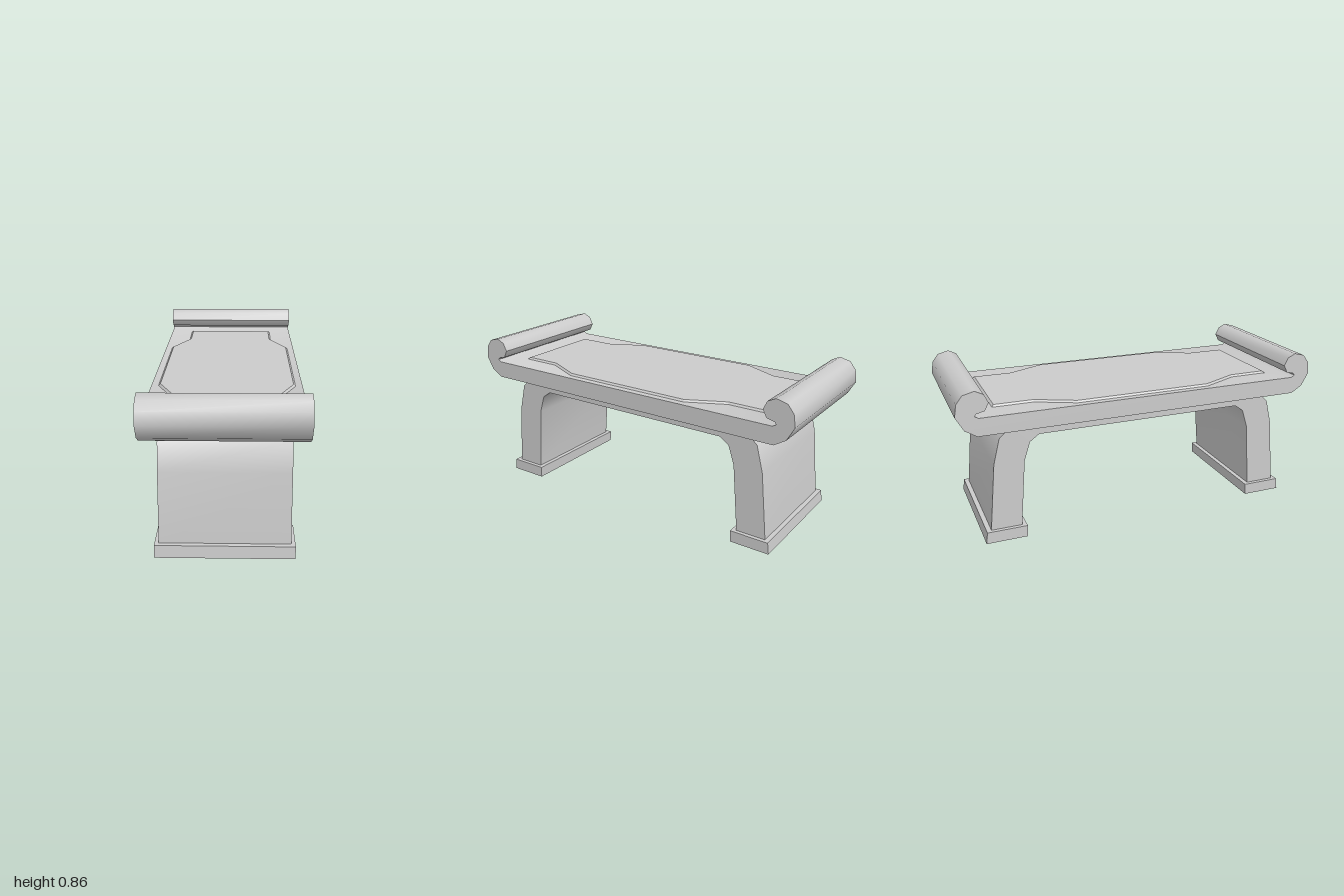
import * as THREE from 'three';
import { toCreasedNormals } from 'three/addons/utils/BufferGeometryUtils.js';

const material = new THREE.MeshStandardMaterial({ color: 0xcccccc });

// Closes a half outline by adding its mirror image in reverse order.
const mirrored = (half) => [...half, ...half.map(([a, b]) => [-a, b]).reverse()];
const toShape = (points) => new THREE.Shape(points.map(([a, b]) => new THREE.Vector2(a, b)));

// Extrudes a (z, y) side outline across the width, centred on x = 0.
function sideProfile(name, points, width) {
  const geometry = new THREE.ExtrudeGeometry(toShape(points), { depth: width, bevelEnabled: false });
  geometry.translate(0, 0, -width / 2).rotateY(-Math.PI / 2);
  const mesh = new THREE.Mesh(toCreasedNormals(geometry, 0.9), material);
  mesh.name = name;
  return mesh;
}

export function createModel() {
  const table = new THREE.Group();
  table.name = 'scrollEndTable';

  // Top slab whose ends curl upward into scrolls
  const slab = mirrored([
    [0.898, 0.625], [0.96, 0.663], [1, 0.735], [0.99, 0.8], [0.957, 0.842],
    [0.898, 0.857], [0.855, 0.836], [0.834, 0.793], [0.855, 0.752],
    [0.898, 0.742], [0.906, 0.73], [0.887, 0.719],
  ]);
  table.add(sideProfile('scrollTop', slab, 0.79));

  // Arched support: two splayed legs joined by a thin span under the slab
  const inner = [[0.575, 0.566], [0.625, 0.53], [0.658, 0.43], [0.69, 0.06]];
  const outer = [[0.855, 0.06], [0.818, 0.43], [0.782, 0.57], [0.72, 0.626]];
  table.add(sideProfile('archedLegs', mirrored([...inner, ...outer]), 0.65));

  // Plinth foot under each leg
  for (const side of [1, -1]) {
    const foot = [[0.888, 0], [0.88, 0.064], [0.664, 0.064], [0.668, 0]];
    const name = side > 0 ? 'frontFoot' : 'backFoot';
    table.add(sideProfile(name, foot.map(([z, y]) => [side * z, y]), 0.692));
  }

  // Raised panel with stepped-in ends and a narrow chamfer
  const outline = mirrored([[0.262, -0.795], [0.262, -0.58], [0.358, -0.375],
    [0.358, 0.375], [0.262, 0.58], [0.262, 0.795]]);
  const panelGeometry = new THREE.ExtrudeGeometry(toShape(outline), {
    depth: 0.02, bevelThickness: 0.01, bevelSize: 0.01, bevelOffset: -0.01, bevelSegments: 1,
  });
  panelGeometry.rotateX(-Math.PI / 2).translate(0, 0.699, 0);
  const panel = new THREE.Mesh(toCreasedNormals(panelGeometry, 0.3), material);
  panel.name = 'raisedPanel';
  table.add(panel);

  return table;
}
